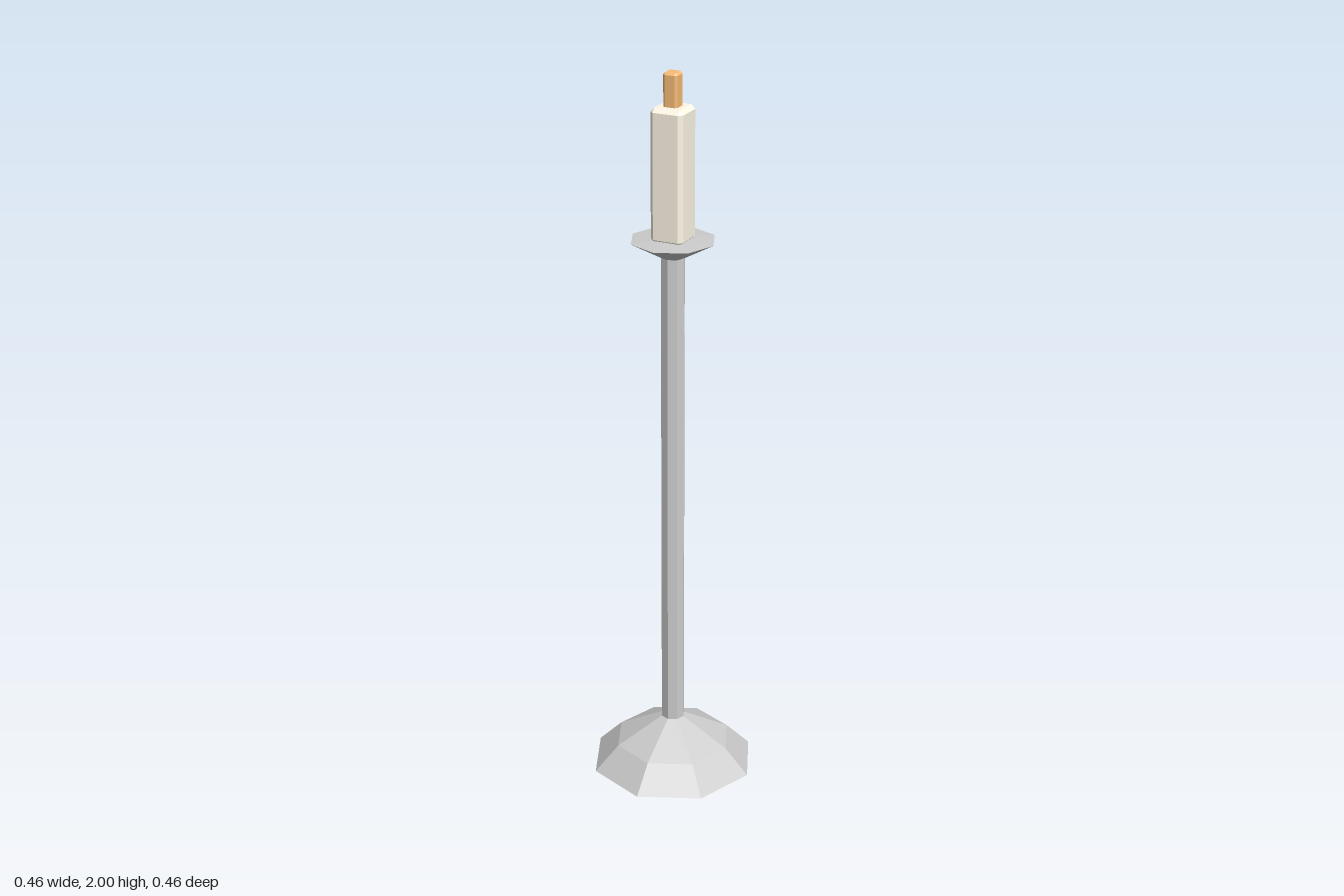
import * as THREE from 'three';
import { ConvexGeometry } from 'three/addons/geometries/ConvexGeometry.js';

const SIDES = 8;

function mat(color) {
  return new THREE.MeshStandardMaterial({ color, flatShading: true });
}

// Eight-sided turned part from [radius, y] pairs, bottom to top
function turned(name, profile, material) {
  const points = profile.map(([r, y]) => new THREE.Vector2(r, y));
  const mesh = new THREE.Mesh(new THREE.LatheGeometry(points, SIDES), material);
  mesh.name = name;
  return mesh;
}

// Square bar with a single chamfer on every edge, standing between y0 and y1
function chamferedBar(name, half, y0, y1, bevel, material) {
  const h = (y1 - y0) / 2;
  const points = [];
  for (const sx of [-1, 1]) for (const sy of [-1, 1]) for (const sz of [-1, 1]) {
    // each corner becomes three points, one per face
    for (let face = 0; face < 3; face++) {
      const inset = [0, 1, 2].map((axis) => (axis === face ? 0 : bevel));
      points.push(new THREE.Vector3(
        sx * (half - inset[0]), sy * (h - inset[1]), sz * (half - inset[2])));
    }
  }
  const mesh = new THREE.Mesh(new ConvexGeometry(points), material);
  mesh.position.y = (y0 + y1) / 2;
  mesh.name = name;
  return mesh;
}

export function createModel() {
  const group = new THREE.Group();
  group.name = 'candlestick';
  const metal = mat(0xcccccc);
  const wax = mat(0xfff8e6);
  const wickColor = mat(0xf8bc78);

  // Domed foot with closed underside
  group.add(turned('foot', [[0, 0], [0.232, 0], [0.164, 0.07], [0.033, 0.142], [0, 0.16]], metal));

  // Slender stem
  group.add(turned('stem', [[0.033, 0.13], [0.033, 1.53]], metal));

  // Drip pan, flaring upward with a nearly flat top
  group.add(turned('dripPan', [[0, 1.513], [0.034, 1.513], [0.115, 1.558], [0, 1.566]], metal));

  // Candle and wick
  group.add(chamferedBar('candle', 0.046, 1.555, 1.912, 0.011, wax));
  group.add(chamferedBar('wick', 0.02, 1.9, 2.0, 0.006, wickColor));

  return group;
}
